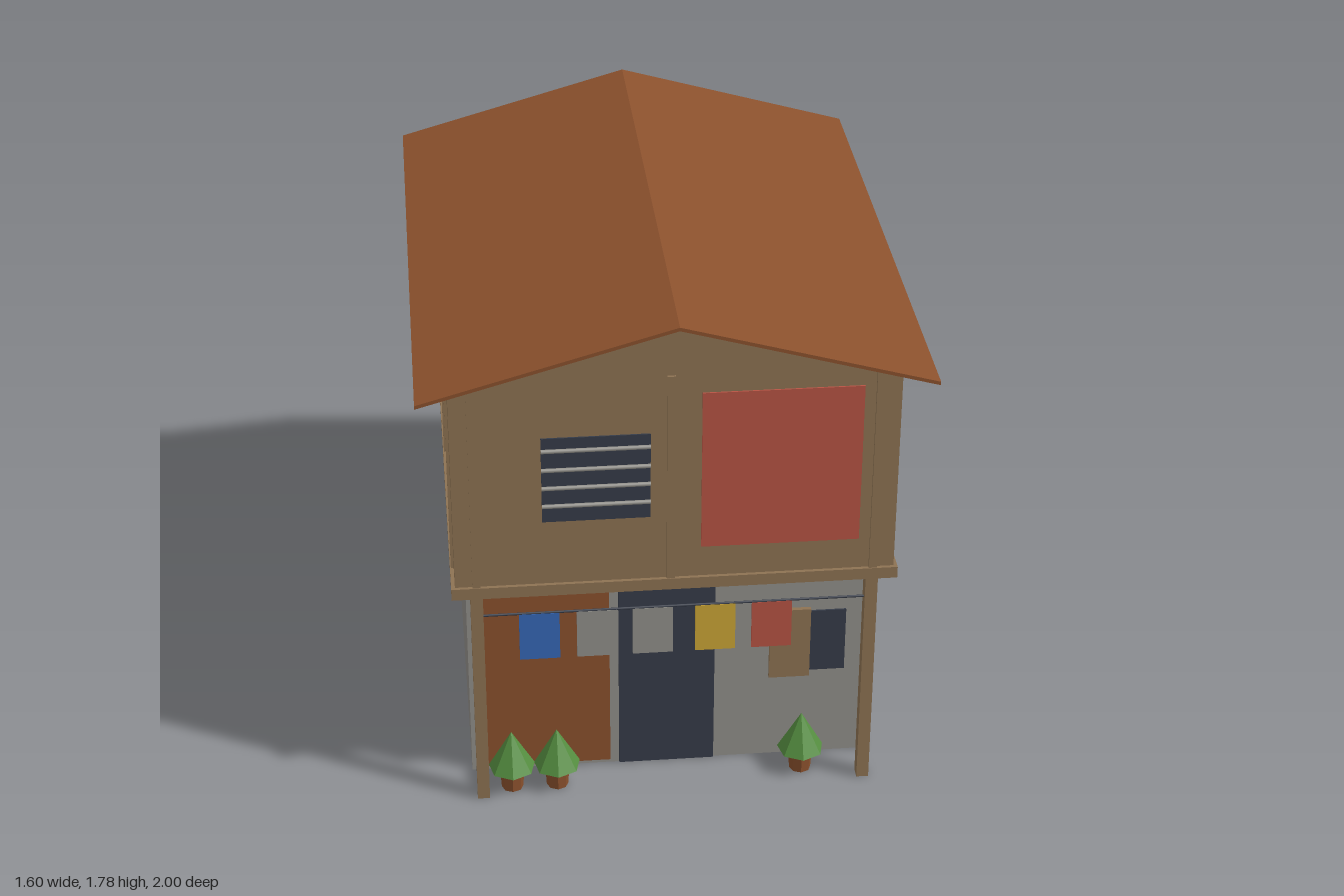
import * as THREE from 'three';

const mat = (name, color) => new THREE.MeshStandardMaterial({ name, color });

export function createModel() {
  const house = new THREE.Group();
  house.name = 'house';
  const wood = mat('wood', 0x8e7353);
  const concrete = mat('concrete', 0x93918b);
  const rust = mat('rust', 0x8b512d);
  const navy = mat('navy', 0x363c49);
  const red = mat('red', 0xb85444);
  const blue = mat('blue', 0x3668b8);
  const yellow = mat('yellow', 0xcda637);
  const green = mat('green', 0x568f41);

  const add = (name, geometry, material) => {
    const mesh = new THREE.Mesh(geometry, material);
    mesh.name = name;
    house.add(mesh);
    return mesh;
  };
  // Box given by its extents on each axis
  const box = (name, material, x0, x1, y0, y1, z0, z1) => {
    const mesh = add(name, new THREE.BoxGeometry(x1 - x0, y1 - y0, z1 - z0), material);
    mesh.position.set((x0 + x1) / 2, (y0 + y1) / 2, (z0 + z1) / 2);
    return mesh;
  };
  // Outline in x and y, extruded evenly along z
  const prism = (name, material, points, halfDepth) => {
    const shape = new THREE.Shape(points.map(([x, y]) => new THREE.Vector2(x, y)));
    const geometry = new THREE.ExtrudeGeometry(shape, { depth: halfDepth * 2, bevelEnabled: false });
    geometry.translate(0, 0, -halfDepth);
    return add(name, geometry, material);
  };

  // Main volumes
  box('groundFloor', concrete, -0.665, 0.665, 0, 0.8, -0.915, 0.75);
  box('floorBand', wood, -0.712, 0.712, 0.8, 0.84, -0.927, 0.927);
  prism('upperFloor', wood,
    [[-0.7, 0.84], [0.7, 0.84], [0.7, 1.566], [0, 1.766], [-0.7, 1.566]], 0.915);
  prism('roof', rust,
    [[-0.8, 1.54], [0, 1.766], [0.8, 1.54], [0.8, 1.552], [0, 1.778], [-0.8, 1.552]], 1);

  // Battens on the front and both long walls
  for (const x of [-0.632, -0.016, 0.632]) {
    box('frontBatten', wood, x - 0.013, x + 0.013, 0.84, 1.57, 0.91, 0.924);
  }
  for (const z of [0.787, 0.053, -0.682]) {
    for (const side of [-1, 1]) {
      const x = side * 0.702;
      box('sideBatten', wood, x - 0.007, x + 0.007, 0.84, 1.56, z - 0.012, z + 0.012);
    }
  }

  // Upper front: barred window and red panel
  box('upperWindow', navy, -0.42, -0.08, 1.07, 1.37, 0.913, 0.92);
  for (const y of [1.13, 1.195, 1.26, 1.328]) {
    const bar = add('windowBar', new THREE.CylinderGeometry(0.007, 0.007, 0.34, 8), concrete);
    bar.rotation.z = Math.PI / 2;
    bar.position.set(-0.25, y, 0.926);
  }
  box('redPanel', red, 0.08, 0.583, 0.95, 1.505, 0.913, 0.92);

  // Long wall: upper shutters, lower slab and rusty sheet
  box('sideShutters', rust, 0.698, 0.704, 0.905, 1.37, -0.415, 0.32);
  box('sideSlab', concrete, 0.663, 0.675, 0.015, 0.768, -0.01, 0.717);
  box('rustSheet', rust, 0.663, 0.672, 0.015, 0.538, -0.617, -0.01);

  // Ground floor front openings
  box('rustDoor', rust, -0.615, -0.2, 0.015, 0.768, 0.748, 0.757);
  box('darkDoorway', navy, -0.17, 0.148, 0, 0.705, 0.748, 0.756);
  box('lowerWindow', navy, 0.4, 0.583, 0.337, 0.572, 0.748, 0.756);
  box('windowShutter', wood, 0.33, 0.465, 0.32, 0.585, 0.75, 0.765);

  // Porch posts with the washing line between them
  for (const x of [-0.633, 0.633]) {
    box('porchPost', wood, x - 0.02, x + 0.02, 0, 0.8, 0.87, 0.91);
  }
  const line = add('washingLine', new THREE.CylinderGeometry(0.004, 0.004, 1.23, 6), navy);
  line.rotation.z = Math.PI / 2;
  line.position.set(0, 0.712, 0.89);
  [[-0.435, blue], [-0.25, concrete], [-0.07, concrete], [0.132, yellow], [0.315, red]]
    .forEach(([x, m]) => box('cloth', m, x - 0.065, x + 0.065, 0.537, 0.71, 0.886, 0.894));

  // Potted plants
  for (const [x, z] of [[-0.535, 0.85], [-0.385, 0.85], [0.432, 0.835]]) {
    const pot = add('plantPot',
      new THREE.CylinderGeometry(0.042, 0.036, 0.1, 8).toNonIndexed(), rust);
    pot.geometry.computeVertexNormals();
    pot.position.set(x, 0.05, z);
    const leaves = add('plantLeaves', new THREE.ConeGeometry(0.078, 0.14, 7).toNonIndexed(), green);
    leaves.geometry.computeVertexNormals();
    leaves.position.set(x, 0.15, z);
  }
  return house;
}
